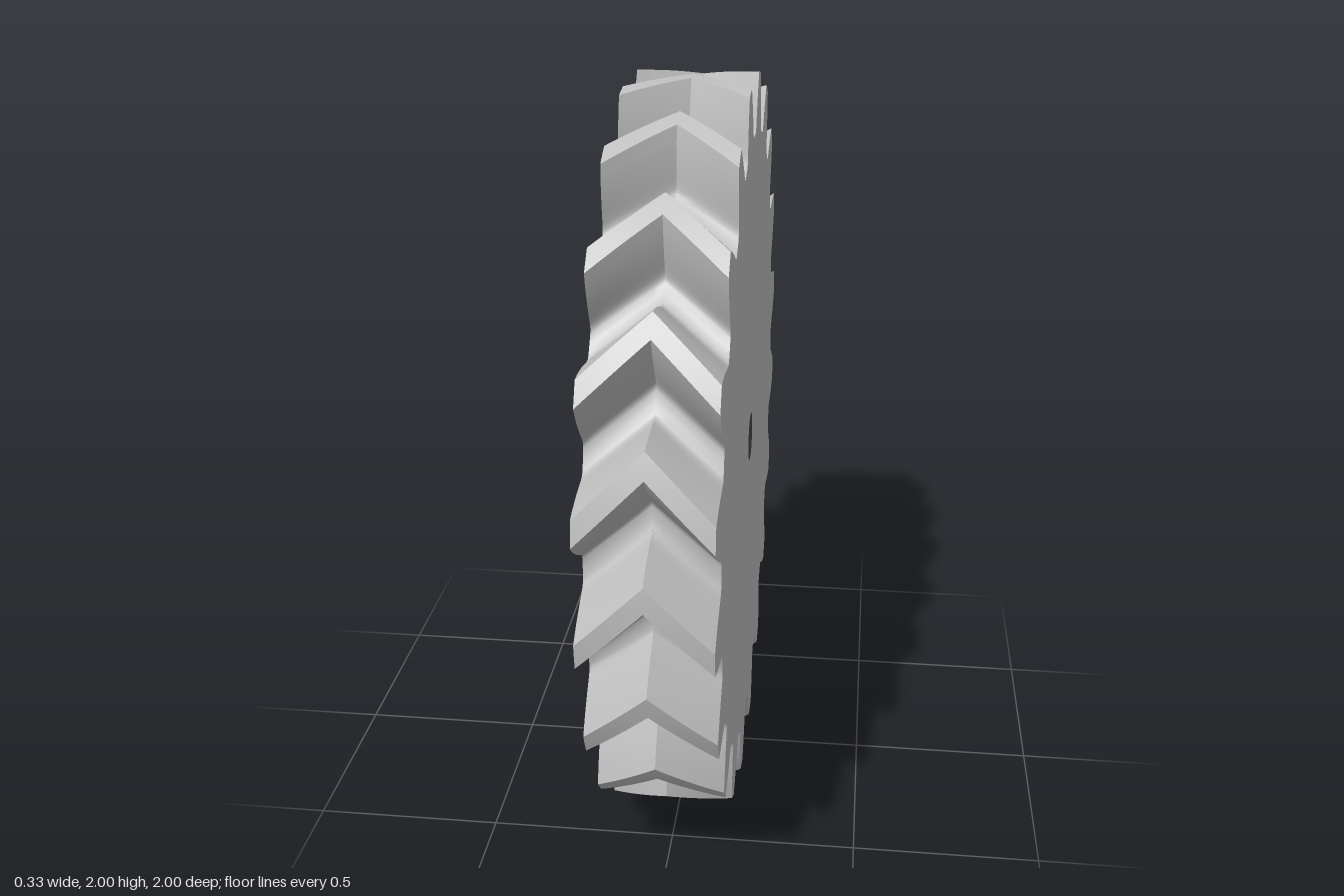
import * as THREE from 'three';
import { toCreasedNormals } from 'three/addons/utils/BufferGeometryUtils.js';

const TEETH = 20;
const HALF_WIDTH = 0.163;
const BORE = 0.067;
const TWIST = THREE.MathUtils.degToRad(9.3);

// Half of one tooth gap: [radius, degrees from the gap centre]
const HALF_GAP = [
  [0.848, 0], [0.849, 1.8], [0.854, 2.5], [0.865, 3.0], [0.88, 3.45], [0.9, 3.98],
  [0.923, 4.6], [0.95, 5.4], [0.975, 6.2], [1, 7.1], [1, 8.05],
];

// Tooth outline repeated around the rim, with a round bore
function gearShape() {
  const mirrored = HALF_GAP.slice(1).reverse().map(([r, a]) => [r, -a]);
  const gap = [...mirrored, ...HALF_GAP];
  const points = [];
  for (let i = 0; i < TEETH; i++) {
    for (const [r, deg] of gap) {
      const a = THREE.MathUtils.degToRad(deg + (i * 360) / TEETH);
      points.push(new THREE.Vector2(r * Math.sin(a), r * Math.cos(a)));
    }
  }
  const shape = new THREE.Shape(points);
  const bore = new THREE.Path();
  bore.absarc(0, 0, BORE, 0, Math.PI * 2, true);
  shape.holes.push(bore);
  return shape;
}

// Twist towards the middle plane and back, giving V-shaped teeth
function twistToHerringbone(geometry) {
  const pos = geometry.attributes.position;
  for (let i = 0; i < pos.count; i++) {
    const x = pos.getX(i), y = pos.getY(i), z = pos.getZ(i);
    const a = TWIST * (1 - Math.abs(z) / HALF_WIDTH);
    const c = Math.cos(a), s = Math.sin(a);
    pos.setXY(i, x * c + y * s, y * c - x * s);
  }
}

export function createModel() {
  const grey = new THREE.MeshStandardMaterial({ color: 0xc0c0c0 });
  grey.name = 'plain grey';

  const geometry = new THREE.ExtrudeGeometry(gearShape(), {
    depth: HALF_WIDTH * 2, steps: 12, bevelEnabled: false, curveSegments: 40,
  });
  geometry.translate(0, 0, -HALF_WIDTH);
  twistToHerringbone(geometry);
  geometry.rotateY(Math.PI / 2);

  const gear = new THREE.Mesh(toCreasedNormals(geometry, 0.6), grey);
  gear.name = 'herringboneGear';
  gear.position.y = 1;

  const group = new THREE.Group();
  group.name = 'gear';
  group.add(gear);
  return group;
}
